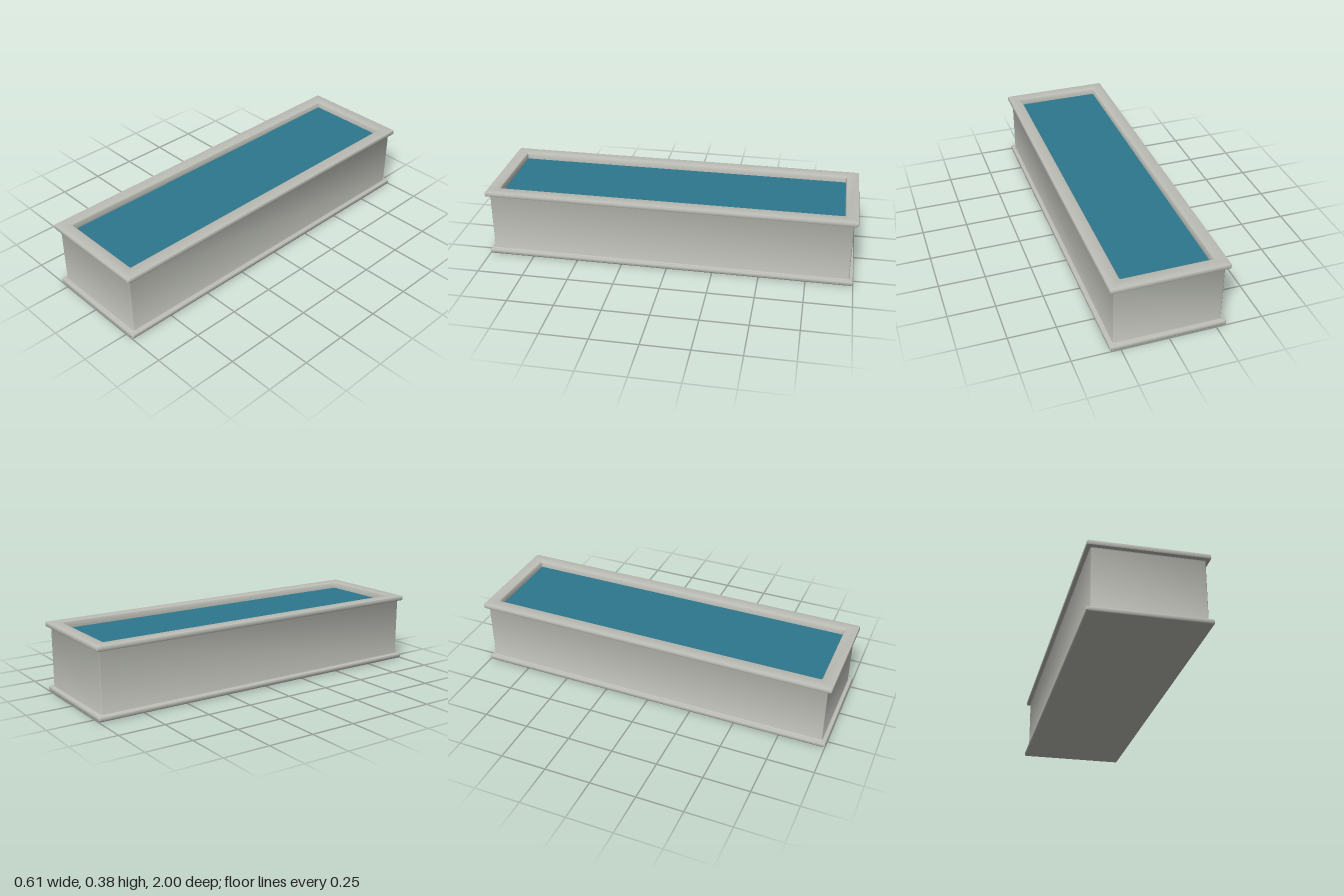
import * as THREE from 'three';
import { toCreasedNormals } from 'three/addons/utils/BufferGeometryUtils.js';

const HALF_X = 0.305, HALF_Z = 1, CORNER = 0.008, STEPS = 3;

// Rounded rectangle as [x, z] points, inset from the outer footprint
function ring(inset) {
  const points = [];
  const signs = [[1, 1], [-1, 1], [-1, -1], [1, -1]];
  signs.forEach(([sx, sz], q) => {
    for (let i = 0; i <= STEPS; i++) {
      const a = (q + i / STEPS) * Math.PI / 2;
      points.push([
        sx * (HALF_X - inset - CORNER) + CORNER * Math.cos(a),
        sz * (HALF_Z - inset - CORNER) + CORNER * Math.sin(a),
      ]);
    }
  });
  return points;
}

// Sweep a profile of [inset, y] points around the footprint
function sweep(profile) {
  const positions = [], index = [];
  const n = ring(0).length;
  profile.forEach(([inset, y]) => ring(inset).forEach(([x, z]) => positions.push(x, y, z)));
  for (let j = 0; j < profile.length - 1; j++) {
    for (let i = 0; i < n; i++) {
      const a = j * n + i, b = j * n + (i + 1) % n;
      index.push(a, a + n, b + n, a, b + n, b);
    }
  }
  const geometry = new THREE.BufferGeometry();
  geometry.setAttribute('position', new THREE.Float32BufferAttribute(positions, 3));
  geometry.setIndex(index);
  return toCreasedNormals(geometry, 0.7);
}

// Flat horizontal sheet filling the footprint at a given inset
function sheet(inset, y, facing) {
  const shape = new THREE.Shape(ring(inset).map(([x, z]) => new THREE.Vector2(x, z)));
  return new THREE.ShapeGeometry(shape).rotateX(-facing * Math.PI / 2).translate(0, y, 0);
}

export function createModel() {
  const stone = new THREE.MeshStandardMaterial({ color: 0xbcbeb6 });
  stone.name = 'paleStone';
  const blue = new THREE.MeshStandardMaterial({ color: 0x2d778e });
  blue.name = 'waterBlue';

  const model = new THREE.Group();
  model.name = 'waterTrough';
  const add = (name, geometry, material) => {
    const mesh = new THREE.Mesh(geometry, material);
    mesh.name = name;
    model.add(mesh);
  };

  // Base slab with rounded edge and a flat underside
  add('baseSlab', sweep([
    [0.008, 0], [0.003, 0.002], [0, 0.007], [0, 0.02], [0.002, 0.025], [0.007, 0.027], [0.017, 0.027],
  ]), stone);
  add('underside', sheet(0.008, 0, -1), stone);

  // Side walls with small coves against the slab and the rim
  add('walls', sweep([
    [0.016, 0.027], [0.02, 0.029], [0.022, 0.034], [0.022, 0.346], [0.02, 0.351], [0.016, 0.353],
  ]), stone);

  // Overhanging rim, turning down into the basin
  add('rim', sweep([
    [0.017, 0.353], [0.007, 0.353], [0.002, 0.355], [0, 0.36], [0, 0.373], [0.002, 0.378],
    [0.007, 0.38], [0.064, 0.38], [0.068, 0.378], [0.07, 0.374], [0.07, 0.34],
  ]), stone);

  // Water surface just below the rim
  add('water', sheet(0.069, 0.345, 1), blue);
  return model;
}
